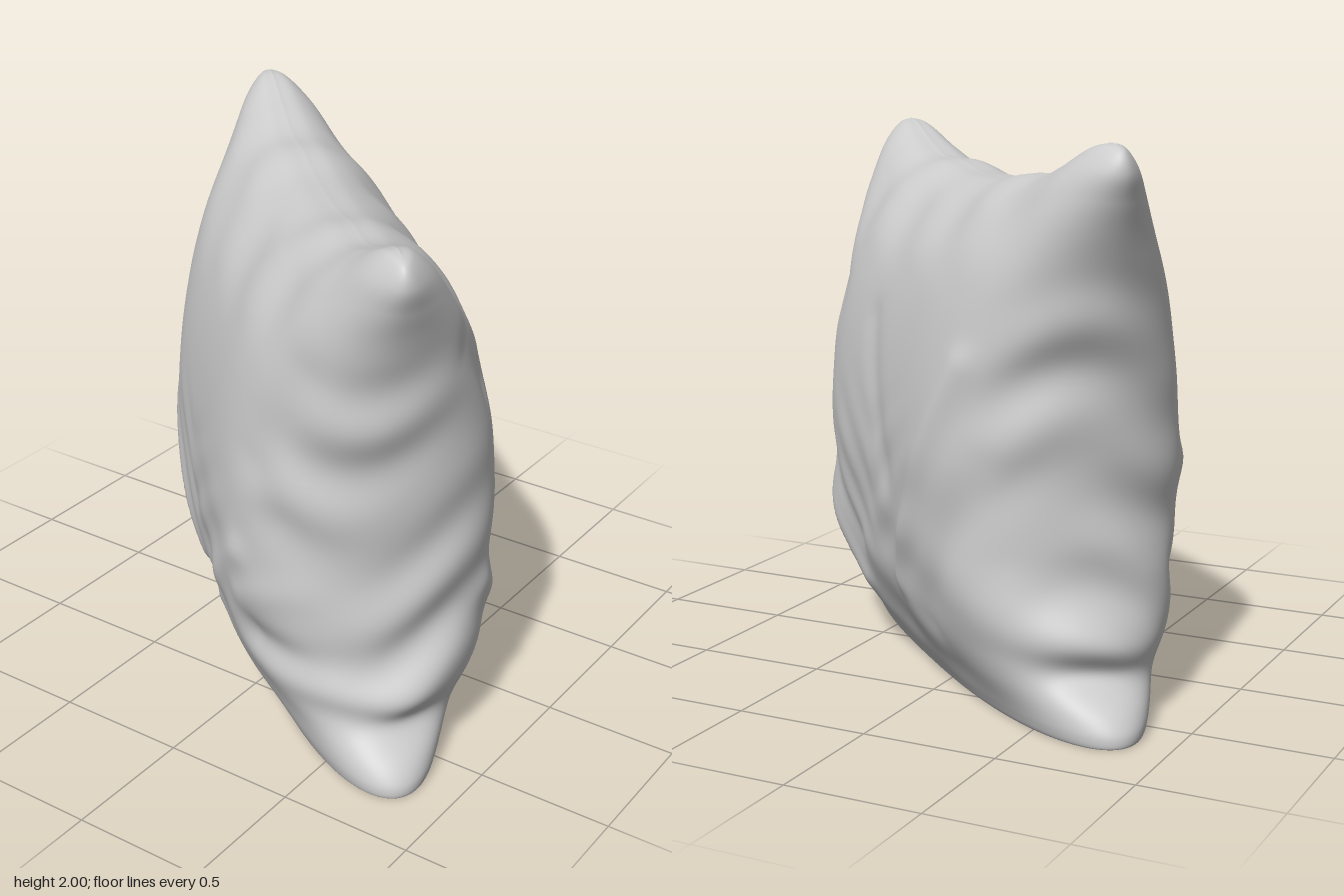
import * as THREE from 'three';
import { mergeVertices } from 'three/addons/utils/BufferGeometryUtils.js';

// Heights up the cushion: (height, half width, half thickness), from the shallow underside to the rounded top
const profile = new THREE.CatmullRomCurve3([
  [0.03, 0.95, 0], [0.03, 1.02, 0.13], [0.012, 1.1, 0.24], [0, 1.13, 0.28], [0.04, 1.13, 0.31],
  [0.18, 1.04, 0.39], [0.35, 0.98, 0.46], [0.6, 0.93, 0.5], [0.95, 0.93, 0.51], [1.3, 0.96, 0.46],
  [1.55, 1.02, 0.375], [1.7, 1.09, 0.265], [1.775, 1.12, 0.18], [1.82, 1.1, 0.09], [1.83, 1.03, 0],
].map((p) => new THREE.Vector3(...p)));

// Rise of the top from its middle to the corners
const topRise = new THREE.SplineCurve([
  [0, 0], [0.2, 0.005], [0.4, 0.035], [0.6, 0.04], [0.8, 0.1], [1, 0.17], [1.2, 0.13],
].map((p) => new THREE.Vector2(...p)));

// Single folds on a face: side, start x y, end x y, height, width
const folds = [
  [1, -0.62, 0.85, -0.1, 0.36, 0.018, 0.06], [1, -0.7, 0.5, -0.35, 0.2, -0.022, 0.08],
  [1, 0.6, 0.75, 0.2, 0.35, 0.022, 0.06], [1, 0.95, 0.42, 0.65, 0.42, -0.06, 0.08],
  [1, 0.6, 0.58, 0.85, 0.68, 0.02, 0.07], [1, -0.1, 0.22, 0.25, 0.4, -0.02, 0.07],
  [1, 0.85, 1.5, 0.7, 1.15, -0.025, 0.1], [1, 0.8, 0.95, 0.95, 0.85, -0.02, 0.08],
  [-1, -0.7, 1.25, -0.25, 0.4, 0.022, 0.06], [-1, -0.8, 0.9, -0.45, 0.3, -0.02, 0.08],
  [-1, 0.75, 0.6, 0.3, 0.25, 0.025, 0.06], [-1, 0.6, 0.7, 0.25, 0.45, -0.015, 0.06],
  [-1, 0.85, 1.55, 0.65, 1.35, -0.025, 0.09], [-1, 0.1, 1.3, -0.2, 0.75, -0.01, 0.07],
];

const smooth = THREE.MathUtils.smoothstep;

// Gaussian falloff from a line segment
function ridge(x, y, x0, y0, x1, y1, width) {
  const dx = x1 - x0, dy = y1 - y0;
  const t = THREE.MathUtils.clamp(((x - x0) * dx + (y - y0) * dy) / (dx * dx + dy * dy), 0, 1);
  const d = Math.hypot(x - x0 - t * dx, y - y0 - t * dy) / width;
  return Math.exp(-d * d);
}

function cushionPoint(t, phi) {
  const { x: h, y: width, z: thick } = profile.getPoint(t);
  const a = Math.cos(phi), side = Math.sin(phi) >= 0 ? 1 : -1, end = Math.sign(a);

  // Pointed lens at the base, full rounded section in the middle (fuller behind), softer at the top
  const power = 2.6 + (1.8 - 0.5 * side) * smooth(h, 0.05, 0.45) - 0.8 * smooth(h, 1.35, 1.8);
  const round = Math.sqrt(Math.max(0, 1 - Math.abs(a) ** power));
  let x = a * width, z = side * thick * round;
  const lift = topRise.getPoint(Math.min(Math.abs(x) / 1.2, 1)).y;
  let y = h + lift * (h / 1.83) ** 5;

  // Uneven, zigzag creases gathered along both ends
  const endMask = Math.abs(a) ** 5 * smooth(h, 0.08, 0.25) * (1 - smooth(h, 1.2, 1.65));
  const patch = 0.6 + 0.4 * Math.sin(5 * y + 6 * z * end);
  x += end * endMask * 0.026 * patch * Math.sin(17 * y + 1.8 * Math.sin(6 * z + end) + 2 * end);

  // The right end sits slightly further in
  if (a < 0) x += 0.025 * a * a * smooth(h, 0.35, 0.6) * (1 - smooth(h, 1.2, 1.65));

  // Deep tuck above each bottom corner
  x -= end * Math.abs(a) ** 6 * 0.06 * Math.exp(-(((y - 0.21 - 0.12 * z * end) / 0.07) ** 2));

  // Face folds, chevron ripples and crumpling toward the base
  const faceMask = round * smooth(h, 0.03, 0.18) * (1 - smooth(h, 1.6, 1.8));
  let bump = 0;
  for (const [s, x0, y0, x1, y1, height, w] of folds) {
    if (s === side) bump += height * ridge(x, y, x0, y0, x1, y1, w);
  }
  const chevron = smooth(y, 0.3, 0.6) * (1 - smooth(y, 0.7, 1.2)) * (1 - smooth(Math.abs(x), 0.3, 0.65));
  bump += 0.004 * chevron * Math.sin(26 * (y - 0.8 * Math.abs(x)));
  bump += 0.01 * (1 - smooth(y, 0.35, 1.1)) * Math.sin(9 * x + 5 * y * side) * Math.sin(13 * y + 3 * x + side);
  z += side * faceMask * bump;

  // Small gathers below the top, fading out over the crest
  const gather = smooth(h, 1.45, 1.7) * (1 - smooth(h, 1.72, 1.82)) * (1 - a ** 4) * round;
  z += side * gather * 0.01 * Math.sin(13 * x + 6 * y * side);
  // Uneven underside
  if (t < 0.2) y += 0.012 * Math.sin(9 * x) * Math.sin(8 * z + 1) * (1 - t / 0.2);
  // The whole body sits slightly forward of its turning axis
  return [x + 0.008, y, z + 0.018];
}

function cushionGeometry(rows = 190, columns = 200) {
  const positions = [], index = [];
  for (let j = 0; j <= rows; j++) {
    for (let i = 0; i < columns; i++) {
      positions.push(...cushionPoint(j / rows, (i / columns) * Math.PI * 2));
    }
  }
  for (let j = 0; j < rows; j++) {
    for (let i = 0; i < columns; i++) {
      const p = j * columns + i, q = j * columns + (i + 1) % columns;
      index.push(p, p + columns, q, q, p + columns, q + columns);
    }
  }
  const geometry = new THREE.BufferGeometry();
  geometry.setAttribute('position', new THREE.Float32BufferAttribute(positions, 3));
  geometry.setIndex(index);

  // Weld the crest, turn diagonally and stand on the ground
  const welded = mergeVertices(geometry, 1e-5);
  welded.rotateY(-THREE.MathUtils.degToRad(42.5));
  welded.computeBoundingBox();
  welded.translate(0, -welded.boundingBox.min.y, 0);
  welded.computeVertexNormals();
  return welded;
}

export function createModel() {
  const group = new THREE.Group();
  group.name = 'pillow';
  const material = new THREE.MeshStandardMaterial({ color: 0xcccccc, side: THREE.DoubleSide });
  const cushion = new THREE.Mesh(cushionGeometry(), material);
  cushion.name = 'cushion';
  group.add(cushion);
  return group;
}
